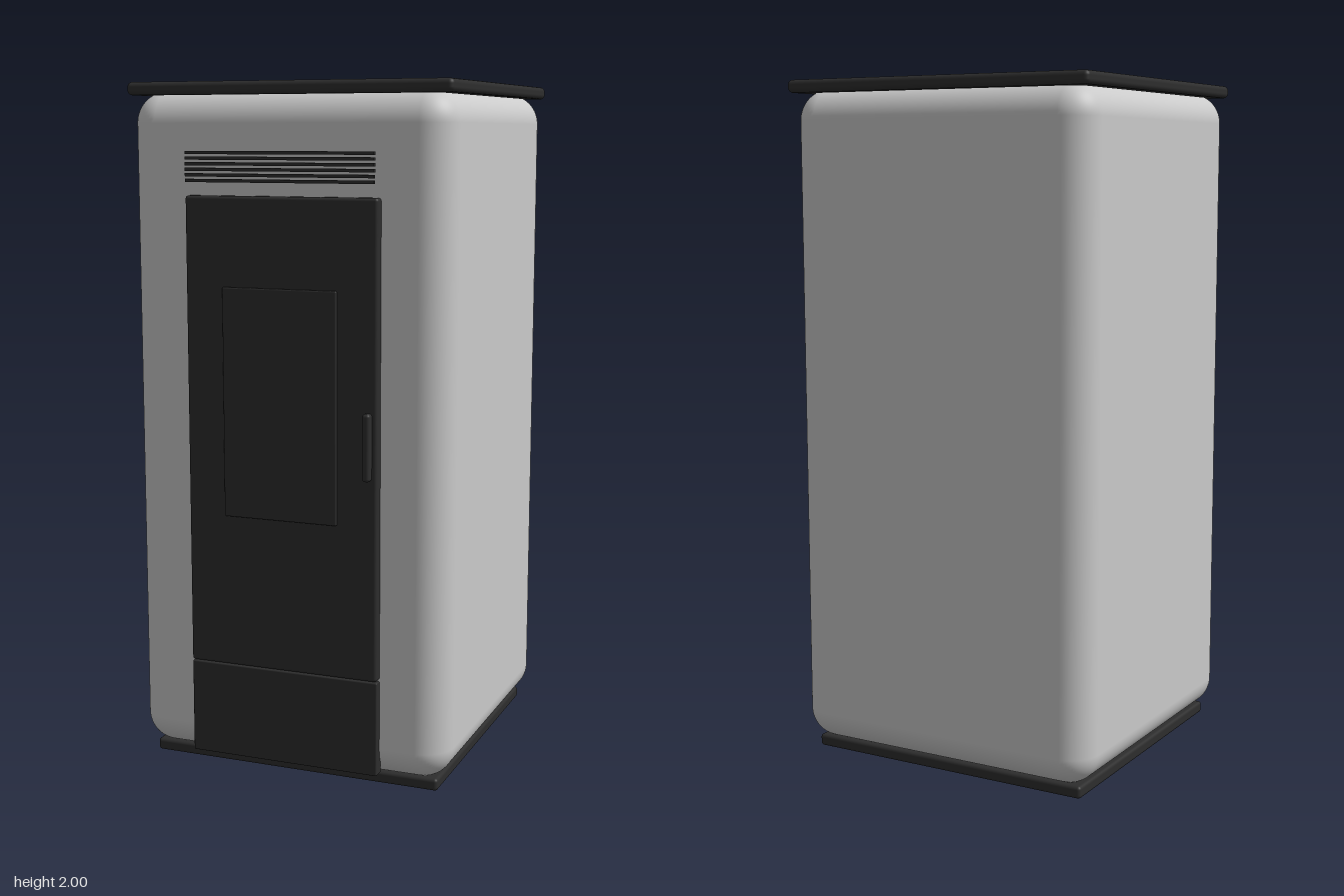
import * as THREE from 'three';
import { RoundedBoxGeometry } from 'three/addons/geometries/RoundedBoxGeometry.js';

export function createModel() {
  const stove = new THREE.Group();
  stove.name = 'stove';

  const shell = new THREE.MeshStandardMaterial({ color: 0xcacaca });
  shell.name = 'light grey enamel';
  const iron = new THREE.MeshStandardMaterial({ color: 0x2d2d2d });
  iron.name = 'dark iron';

  // Rounded block given by its extents on each axis
  function block(name, material, [x0, x1], [y0, y1], [z0, z1], radius, segments = 3) {
    const geometry = new RoundedBoxGeometry(x1 - x0, y1 - y0, z1 - z0, segments, radius);
    const mesh = new THREE.Mesh(geometry, material);
    mesh.name = name;
    mesh.position.set((x0 + x1) / 2, (y0 + y1) / 2, (z0 + z1) / 2);
    stove.add(mesh);
    return mesh;
  }

  // Cabinet between plinth and lid
  block('plinth', iron, [-0.45, 0.445], [0, 0.036], [-0.457, 0.405], 0.01);
  block('cabinet', shell, [-0.486, 0.482], [0.034, 1.975], [-0.505, 0.455], 0.09, 8);
  block('lid', iron, [-0.488, 0.485], [1.963, 2], [-0.507, 0.45], 0.014);

  // Door and the panel below it
  block('door', iron, [-0.291, 0.287], [0.33, 1.685], [0.44, 0.482], 0.009);
  block('lowerPanel', iron, [-0.291, 0.287], [0.05, 0.327], [0.44, 0.478], 0.004);
  block('windowPane', iron, [-0.175, 0.169], [0.775, 1.432], [0.478, 0.491], 0.004);
  block('handle', iron, [0.25, 0.273], [0.91, 1.1], [0.478, 0.507], 0.009);

  // Air grille slats
  const grille = new THREE.Group();
  grille.name = 'airGrille';
  const slatGeometry = new THREE.BoxGeometry(0.563, 0.009, 0.01);
  for (let i = 0; i < 6; i++) {
    const slat = new THREE.Mesh(slatGeometry, iron);
    slat.name = 'slat';
    slat.position.set(-0.002, 1.727 + i * 0.0154, 0.488);
    grille.add(slat);
  }
  stove.add(grille);

  return stove;
}
